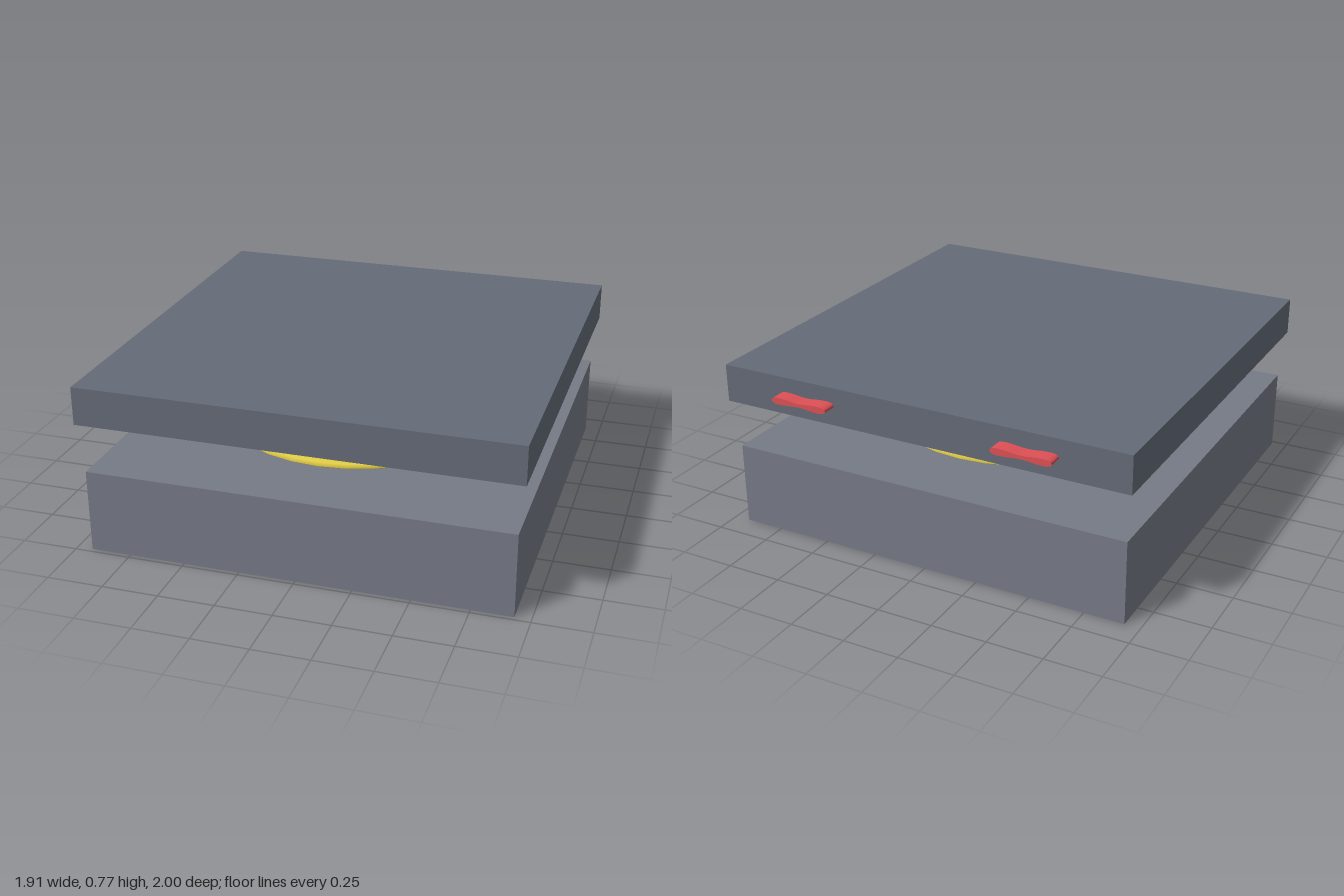
import * as THREE from 'three';

const material = (color) => new THREE.MeshStandardMaterial({ color });

export function createModel() {
  const model = new THREE.Group();
  const add = (name, geometry, mat, x, y, z) => {
    const mesh = new THREE.Mesh(geometry, mat);
    mesh.name = name;
    mesh.position.set(x, y, z);
    model.add(mesh);
    return mesh;
  };

  // Base block and the wider slab floating above it
  add('base', new THREE.BoxGeometry(1.86, 0.375, 1.865), material(0x767a86), 0, 0.1875, 0.0475);
  add('lid', new THREE.BoxGeometry(1.91, 0.17, 1.915), material(0x646a77), 0, 0.685, 0.0425);

  // Stack of flattened rings between the two
  const ring = new THREE.TorusGeometry(0.565, 0.06, 8, 32).rotateX(Math.PI / 2).scale(1, 0.25, 1);
  const yellow = material(0xe0cc45);
  for (let i = 0; i < 4; i++) add('ring' + (i + 1), ring, yellow, 0, 0.39 + i * 0.06, 0.045);

  // Waisted tabs behind the lid: rounded ends, slimmer middle
  const w = 0.135, h = 0.015, waist = 0.008;
  const outline = new THREE.Shape();
  outline.moveTo(-w + 0.04, -h);
  outline.bezierCurveTo(-0.04, -h, -0.04, -waist, 0, -waist);
  outline.bezierCurveTo(0.04, -waist, 0.04, -h, w - 0.04, -h);
  outline.bezierCurveTo(w, -h, w, h, w - 0.04, h);
  outline.bezierCurveTo(0.04, h, 0.04, waist, 0, waist);
  outline.bezierCurveTo(-0.04, waist, -0.04, h, -w + 0.04, h);
  outline.bezierCurveTo(-w, h, -w, -h, -w + 0.04, -h);
  const tab = new THREE.ExtrudeGeometry(outline, { depth: 0.065, bevelEnabled: false, curveSegments: 8 });
  tab.computeBoundingBox();
  tab.scale(w / tab.boundingBox.max.x, 1, 1);
  const red = material(0xdd5055);
  for (const side of [-1, 1]) add(side < 0 ? 'rightTab' : 'leftTab', tab, red, side * 0.52, 0.7, -1);

  return model;
}
